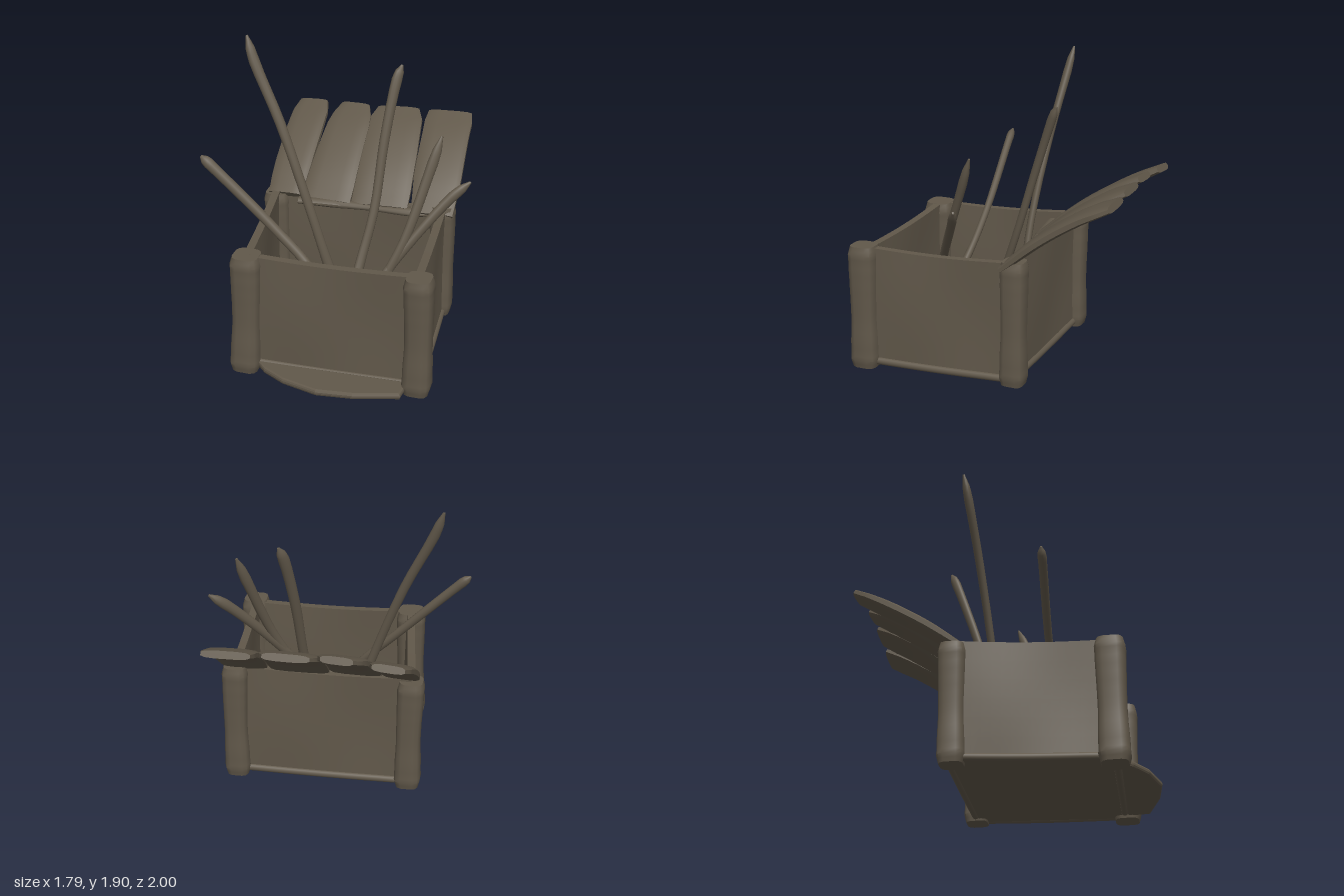
import * as THREE from 'three';
import { toCreasedNormals } from 'three/addons/utils/BufferGeometryUtils.js';

const V = (x, y, z) => new THREE.Vector3(x, y, z);

// Sample a short list of sizes evenly over 0..1
function sample(list, f) {
  const p = f * (list.length - 1), i = Math.min(Math.floor(p), list.length - 2);
  return list.length === 1 ? list[0] : THREE.MathUtils.lerp(list[i], list[i + 1], p - i);
}

// Closed bar along a smooth path; half widths run along 'side', half thicknesses across it
function barGeometry(points, widths, thicks, side, steps = 12, power = 1) {
  const curve = new THREE.CatmullRomCurve3(points.map(p => V(...p)));
  const n = 12, pos = [], idx = [];
  const round = c => Math.sign(c) * Math.abs(c) ** power;
  for (let i = 0; i <= steps; i++) {
    const f = i / steps, c = curve.getPoint(f), t = curve.getTangent(f);
    const u = side.clone().addScaledVector(t, -side.dot(t)).normalize();
    const v = t.clone().cross(u);
    for (let j = 0; j < n; j++) {
      const a = (j + 0.5) / n * Math.PI * 2;
      const p = c.clone().addScaledVector(u, round(Math.cos(a)) * sample(widths, f))
        .addScaledVector(v, round(Math.sin(a)) * sample(thicks, f));
      pos.push(p.x, p.y, p.z);
      if (i < steps) {
        const k = i * n + j, l = i * n + (j + 1) % n;
        idx.push(k, l, l + n, k, l + n, k + n);
      }
    }
  }
  // End caps
  const first = curve.getPoint(0), last = curve.getPoint(1), c0 = pos.length / 3;
  pos.push(first.x, first.y, first.z, last.x, last.y, last.z);
  for (let j = 0; j < n; j++) {
    const l = (j + 1) % n;
    idx.push(c0, l, j, c0 + 1, steps * n + j, steps * n + l);
  }
  const g = new THREE.BufferGeometry();
  g.setAttribute('position', new THREE.Float32BufferAttribute(pos, 3));
  g.setIndex(idx);
  return toCreasedNormals(g, 0.75);
}

// Flat horizontal plate from an x,z outline
function plateGeometry(outline, top, depth, bevel) {
  const shape = new THREE.Shape(outline.map(([x, z]) => new THREE.Vector2(x, z)));
  const g = new THREE.ExtrudeGeometry(shape, {
    depth, bevelEnabled: bevel > 0, bevelSize: bevel, bevelThickness: bevel, bevelSegments: 2,
  });
  return g.rotateX(Math.PI / 2).translate(0, top, 0);
}

export function createModel() {
  const model = new THREE.Group();
  const wood = new THREE.MeshStandardMaterial({ color: 0x61584a });
  wood.name = 'darkWood';
  const add = (name, geometry) => {
    const mesh = new THREE.Mesh(geometry, wood);
    mesh.name = name;
    model.add(mesh);
  };

  // Corner posts: bottom x,z, top x,z, bottom y, top y, half size
  const across = V(-0.3, 0, 0.95);
  const posts = {
    frontRightPost: [-0.625, 0.54, -0.605, 0.535, 0.005, 0.81, 0.094],
    frontLeftPost: [0.43, 0.865, 0.43, 0.865, 0.02, 0.82, 0.088],
    backLeftPost: [0.65, -0.09, 0.652, -0.095, 0.025, 0.82, 0.08],
    backRightPost: [-0.42, -0.395, -0.43, -0.4, 0.02, 0.79, 0.083],
  };
  for (const [name, [x0, z0, x1, z1, y0, y1, r]] of Object.entries(posts)) {
    const sizes = [0.88, 1.03, 1, 1, 0.98, 0.95, 0.93, 0.93, 0.94, 0.95, 0.97, 0.98, 1, 1, 1.03, 0.88].map(s => s * r);
    add(name, barGeometry([[x0, y0, z0], [(x0 + x1) / 2 + 0.005, (y0 + y1) / 2, (z0 + z1) / 2], [x1, y1, z1]],
      sizes, sizes, across, 30, 0.55));
  }

  // Walls with slightly sagging tops, and a rim rod along each foot
  const corners = { a: [-0.6, 0.53], b: [0.43, 0.83], c: [0.65, -0.07], d: [-0.43, -0.4] };
  const walls = { frontWall: 'ab', leftWall: 'bc', backWall: 'cd', rightWall: 'da' };
  for (const [name, [p, q]] of Object.entries(walls)) {
    const [x0, z0] = corners[p], [x1, z1] = corners[q];
    const length = Math.hypot(x1 - x0, z1 - z0);
    const g = new THREE.BoxGeometry(length, 0.75, 0.05, 16, 6, 1);
    const at = g.attributes.position;
    for (let i = 0; i < at.count; i++) {
      const s = at.getX(i) / length + 0.5, h = at.getY(i) / 0.75 + 0.5;
      at.setY(i, at.getY(i) - 0.015 * h * Math.sin(s * Math.PI));
      at.setZ(i, at.getZ(i) + 0.012 * Math.sin(s * 6) * Math.sin(h * Math.PI));
    }
    g.rotateY(-Math.atan2(z1 - z0, x1 - x0)).translate((x0 + x1) / 2, 0.435, (z0 + z1) / 2);
    add(name, toCreasedNormals(g, 0.75));
    const ox = -(z1 - z0) / length * 0.02, oz = (x1 - x0) / length * 0.02;
    add(name + 'Rim', barGeometry([[x0 + ox, 0.06, z0 + oz],
      [(x0 + x1) / 2 + ox, 0.055, (z0 + z1) / 2 + oz], [x1 + ox, 0.06, z1 + oz]],
    [0.025], [0.025], V(0, 1, 0), 6));
  }

  // Floor and the bulging front step
  add('floor', plateGeometry(Object.values(corners), 0.07, 0.03, 0));
  add('frontStep', plateGeometry([[-0.54, 0.6], [0.36, 0.86], [0.31, 0.975], [0.03, 0.965],
    [-0.19, 0.92], [-0.39, 0.79], [-0.5, 0.67]], 0.065, 0.012, 0.015));

  // Raised lid of four fanned planks: base x,y,z, tip x,y,z, bulge, roll, half widths from base to tip
  const planks = [
    [-0.38, 0.79, -0.34, -0.175, 1.2, -0.97, 0.025, 0.12, [0.115, 0.125, 0.13, 0.13, 0.13, 0.128, 0.125, 0.1]],
    [-0.11, 0.785, -0.24, 0.11, 1.215, -0.855, 0.032, 0.09, [0.17, 0.17, 0.165, 0.16, 0.155, 0.15, 0.135, 0.1]],
    [0.24, 0.78, -0.15, 0.4, 1.215, -0.78, 0.04, 0.05, [0.19, 0.195, 0.195, 0.195, 0.19, 0.185, 0.18, 0.145]],
    [0.575, 0.77, -0.04, 0.745, 1.215, -0.695, 0.045, 0.03, [0.14, 0.15, 0.16, 0.16, 0.16, 0.16, 0.163, 0.15]],
  ];
  planks.forEach(([x0, y0, z0, x1, y1, z1, bulge, roll, widths], i) => {
    const mid = f => [x0 + (x1 - x0) * f, y0 + (y1 - y0) * f + bulge * Math.sin(f * Math.PI), z0 + (z1 - z0) * f];
    add('lidPlank' + (i + 1), barGeometry([mid(0), mid(0.35), mid(0.7), mid(1)], widths,
      [0.024, 0.032, 0.034, 0.034, 0.03, 0.024], V(0.96, roll, 0.22), 14, 0.6));
  });
  // Batten joining the plank bases
  add('lidBatten', barGeometry([[-0.29, 0.785, -0.26], [0.05, 0.775, -0.2], [0.38, 0.77, -0.11], [0.65, 0.765, -0.07]],
    [0.035, 0.045, 0.03, 0.045, 0.035], [0.02, 0.028, 0.02, 0.028, 0.02], V(-0.2, 0, 1), 14));

  // Loose pointed sticks standing inside the box, the last one a short stub
  const sticks = [
    [[-0.1, 0.32, 0.42], [-0.22, 0.57, 0.29], [-0.43, 0.8, 0.2], [-0.83, 1.2, 0.085], [-0.895, 1.26, 0.065]],
    [[0, 0.1, -0.08], [-0.1, 0.4, -0.08], [-0.22, 0.8, -0.12], [-0.4, 1.35, -0.23], [-0.56, 1.74, -0.33], [-0.605, 1.9, -0.37]],
    [[0, 0.09, 0.25], [0.1, 0.45, 0.07], [0.2, 0.8, -0.05], [0.27, 1.25, -0.18], [0.35, 1.62, -0.29], [0.385, 1.71, -0.32]],
    [[0, 0.1, 0.59], [0.18, 0.45, 0.45], [0.37, 0.8, 0.365], [0.53, 1.22, 0.24], [0.605, 1.43, 0.18]],
    [[0, 0.2, 0.59], [0.22, 0.55, 0.43], [0.44, 0.82, 0.35], [0.66, 1.05, 0.28], [0.785, 1.15, 0.255]],
    [[-0.02, 0.1, 0.07], [0.06, 0.13, 0.075], [0.12, 0.38, 0.06]],
  ];
  const taper = [0.03, 0.036, 0.034, 0.031, 0.031, 0.031, 0.033, 0.034, 0.036, 0.03, 0.008];
  sticks.forEach((path, i) => add('stick' + (i + 1),
    barGeometry(path, taper.map(r => r * 0.75), taper, V(0.3, 0, 1), 20)));

  return model;
}
